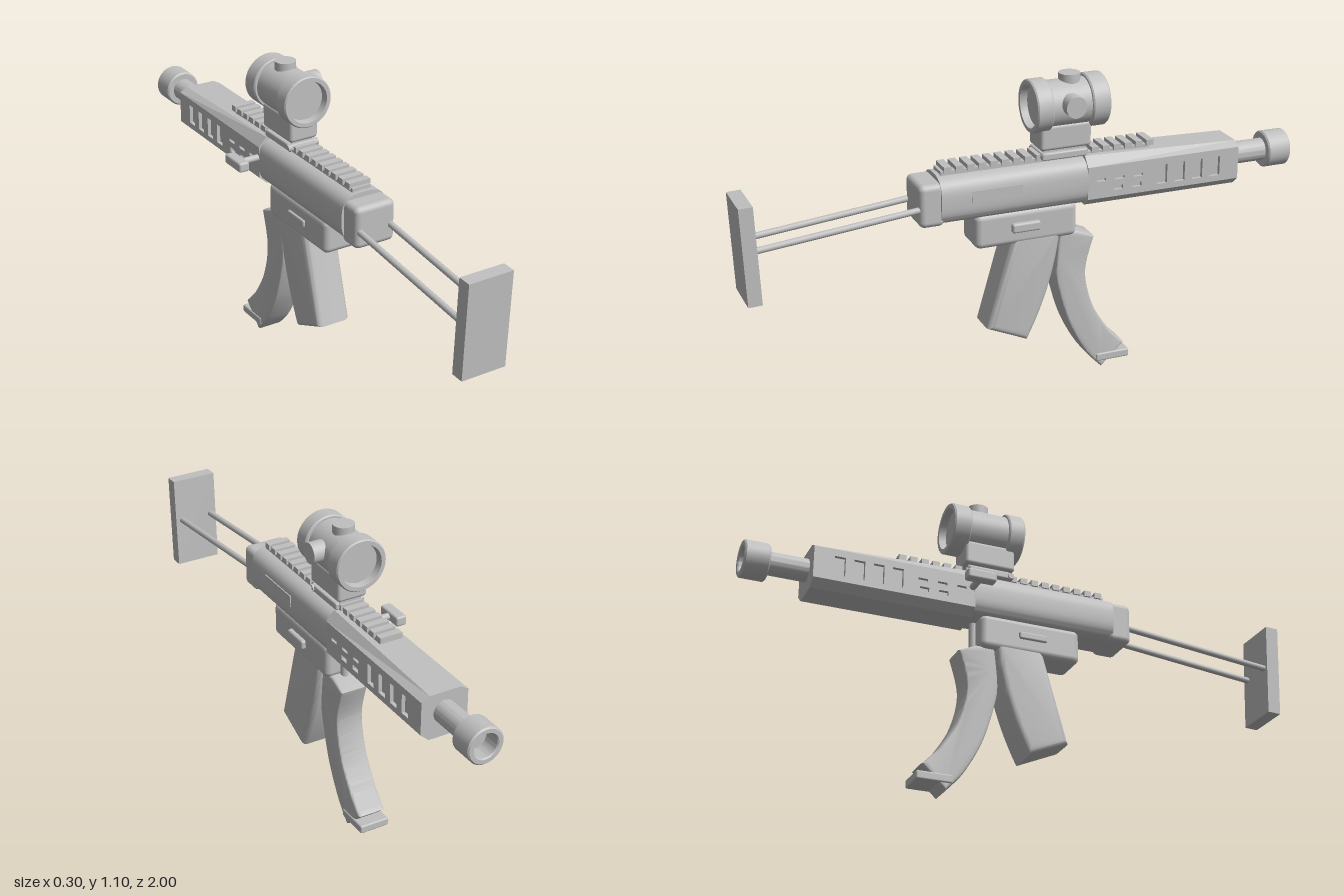
import * as THREE from 'three';
import { toCreasedNormals } from 'three/addons/utils/BufferGeometryUtils.js';
import { RoundedBoxGeometry } from 'three/addons/geometries/RoundedBoxGeometry.js';

export function createModel() {
  const root = new THREE.Group();
  root.name = 'model';
  const grey = new THREE.MeshStandardMaterial({ color: 0xc0c0c0 });
  grey.name = 'grey';
  const CX = 0.034; // centre plane of the body
  const BORE = 0.734;

  const add = (name, geo, x = 0, y = 0, z = 0) => {
    const m = new THREE.Mesh(geo, grey);
    m.name = name;
    m.position.set(x, y, z);
    root.add(m);
    return m;
  };
  // box given by its extents
  const box = (name, x0, x1, y0, y1, z0, z1, r = 0) => {
    const s = [Math.abs(x1 - x0), Math.abs(y1 - y0), Math.abs(z1 - z0)];
    const g = r ? new RoundedBoxGeometry(...s, 3, r) : new THREE.BoxGeometry(...s);
    return add(name, g, (x0 + x1) / 2, (y0 + y1) / 2, (z0 + z1) / 2);
  };
  const vecs = (pts) => pts.map(([a, b]) => new THREE.Vector2(a, b));
  // side profile in (z, y), extruded across x and centred on the body
  const sideExtrude = (shape, width, bevel = 0) => {
    const depth = width - 2 * bevel;
    const g = new THREE.ExtrudeGeometry(shape, {
      depth, bevelEnabled: bevel > 0, bevelSize: bevel, bevelThickness: bevel,
      bevelOffset: -bevel, bevelSegments: 4, curveSegments: 12,
    });
    g.translate(0, 0, -depth / 2).rotateY(-Math.PI / 2);
    return toCreasedNormals(g, 0.6);
  };
  // turned part along z, profile in (radius, z)
  const turned = (name, pts, x, y) => {
    const g = new THREE.LatheGeometry(vecs(pts), 40).rotateX(Math.PI / 2);
    return add(name, toCreasedNormals(g, 0.6), x, y, 0);
  };
  const rod = (name, a, b, r) => {
    const g = new THREE.TubeGeometry(new THREE.LineCurve3(new THREE.Vector3(...a), new THREE.Vector3(...b)), 1, r, 16);
    return add(name, g);
  };

  // shoulder stock
  const butt = box('buttPlate', -0.048, 0.118, 0.475, 0.817, 0.946, 0.994);
  butt.rotation.x = 0.036;
  for (const x of [-0.026, 0.092]) rod('stockRod', [x, 0.655, 0.96], [x, 0.717, 0.36], 0.011);
  box('rearCap', CX - 0.077, CX + 0.077, 0.65, 0.8, 0.31, 0.398, 0.02);

  // receiver with a softly rounded section
  const ring = [];
  for (let i = 0; i < 48; i++) {
    const a = (i / 48) * Math.PI * 2, c = Math.cos(a), s = Math.sin(a);
    ring.push([0.086 * Math.sign(c) * Math.abs(c) ** 0.65, 0.732 + 0.084 * Math.sign(s) * Math.abs(s) ** 0.65]);
  }
  const receiver = new THREE.ExtrudeGeometry(new THREE.Shape(vecs(ring)), { depth: 0.53, bevelEnabled: false });
  add('receiver', toCreasedNormals(receiver, 0.6), CX, 0, -0.205);
  box('ejectionPanel', 0.1, 0.122, 0.725, 0.765, 0.04, 0.22);

  // handguard core, notched on both sides for the slotted panels
  const half = [[0.055, 0.645], [0.085, 0.672], [0.072, 0.672], [0.072, 0.788], [0.085, 0.788], [0.056, 0.822]];
  const outline = [...half, ...half.map(([x, y]) => [-x, y]).reverse()];
  const core = new THREE.ExtrudeGeometry(new THREE.Shape(vecs(outline)), { depth: 0.575, bevelEnabled: false });
  const p = core.attributes.position;
  for (let i = 0; i < p.count; i++) {
    if (p.getY(i) > 0.81 && p.getZ(i) < 0.1) p.setY(i, 0.804); // top slopes toward the muzzle
  }
  core.computeVertexNormals();
  add('handguard', core, CX, 0, -0.775);
  const panel = new THREE.Shape(vecs([[-0.775, 0.672], [-0.2, 0.672], [-0.2, 0.788], [-0.775, 0.788]]));
  const slot = (z, y, w, h) => panel.holes.push(new THREE.Path(vecs(
    [[z - w / 2, y - h / 2], [z - w / 2, y + h / 2], [z + w / 2, y + h / 2], [z + w / 2, y - h / 2]])));
  for (let i = 0; i < 4; i++) slot(-0.48 - i * 0.068, 0.728, 0.038, 0.07);
  for (let i = 0; i < 2; i++) slot(-0.315 - i * 0.07, 0.703, 0.034, 0.016);
  for (let i = 0; i < 3; i++) slot(-0.25 - i * 0.07, 0.738, 0.034, 0.01);
  for (const s of [-1, 1]) add('handguardPanel', sideExtrude(panel, 0.013), CX + s * 0.0785, 0, 0);

  // barrel and hollow muzzle
  turned('barrel', [[0.04, -0.94], [0.04, -0.76]], CX, BORE);
  turned('muzzle', [[0, -0.94], [0.042, -0.94], [0.042, -0.996], [0.046, -1], [0.06, -1], [0.065, -0.995],
    [0.065, -0.917], [0.06, -0.912], [0.038, -0.912]], CX, BORE);

  // toothed top rail
  box('railBase', CX - 0.035, CX + 0.035, 0.8, 0.828, -0.45, 0.31);
  for (let i = 0; i < 19; i++) {
    const z = 0.3 - i * 0.041;
    box('railTooth', CX - 0.041, CX + 0.041, 0.822, 0.843, z - 0.026, z);
  }

  // sight mount
  box('mountClamp', CX - 0.055, CX + 0.055, 0.822, 0.848, -0.21, -0.045, 0.006);
  box('mountNeck', CX - 0.04, CX + 0.04, 0.84, 0.87, -0.21, -0.055);
  box('mountBlock', CX - 0.055, CX + 0.055, 0.856, 0.945, -0.225, -0.04, 0.012);
  rod('mountBolt', [CX - 0.06, 0.835, -0.055], [CX + 0.06, 0.835, -0.055], 0.013);

  // sight tube with a recessed lens at each end
  turned('sightTube', [[0, -0.255], [0.07, -0.255], [0.074, -0.28], [0.088, -0.28], [0.092, -0.275], [0.092, -0.22],
    [0.088, -0.215], [0.081, -0.215], [0.081, -0.075], [0.088, -0.075], [0.092, -0.07], [0.092, -0.02],
    [0.088, -0.015], [0.074, -0.015], [0.07, -0.04], [0, -0.04]], CX, 1.004);
  const knob = () => new THREE.CylinderGeometry(0.037, 0.037, 0.05, 28);
  add('topKnob', knob(), CX, 1.082, -0.163);
  add('sideKnob', knob().rotateZ(Math.PI / 2), 0.125, 1.018, -0.142);

  // charging handle
  add('chargingShaft', new THREE.CylinderGeometry(0.012, 0.012, 0.08, 16).rotateZ(Math.PI / 2), -0.082, 0.746, -0.21);
  box('chargingKnob', -0.152, -0.112, 0.729, 0.765, -0.265, -0.16, 0.008);

  // lower housing
  box('lowerHousing', CX - 0.068, CX + 0.068, 0.54, 0.665, -0.17, 0.2, 0.022);
  box('releaseCatch', 0.09, 0.118, 0.588, 0.622, -0.03, 0.073, 0.008);
  box('catchPlate', -0.042, -0.02, 0.592, 0.618, -0.03, 0.073, 0.006);

  // rear grip
  const grip = new THREE.Shape();
  grip.moveTo(0.06, 0.57);
  grip.lineTo(0.157, 0.235);
  grip.lineTo(0.01, 0.17);
  grip.quadraticCurveTo(-0.09, 0.36, -0.113, 0.57);
  add('grip', sideExtrude(grip, 0.132, 0.022), CX);

  // curved magazine
  const mag = new THREE.Shape(vecs([[-0.243, 0.52], [-0.18, 0.548], [-0.113, 0.55]]));
  mag.splineThru(vecs([[-0.1, 0.417], [-0.11, 0.337], [-0.152, 0.2], [-0.217, 0.08], [-0.28, 0.008]]));
  mag.lineTo(-0.366, 0.09);
  mag.lineTo(-0.35, 0.105);
  mag.lineTo(-0.307, 0.15);
  mag.splineThru(vecs([[-0.243, 0.257], [-0.213, 0.39], [-0.243, 0.52]]));
  add('magazine', sideExtrude(mag, 0.102, 0.01), CX);
  box('magazineFoot', CX - 0.055, CX + 0.055, 0.033, 0.063, -0.385, -0.258, 0.006);
  rod('magazineCatch', [CX, 0.53, -0.175], [CX, 0.66, -0.175], 0.014);

  return root;
}
